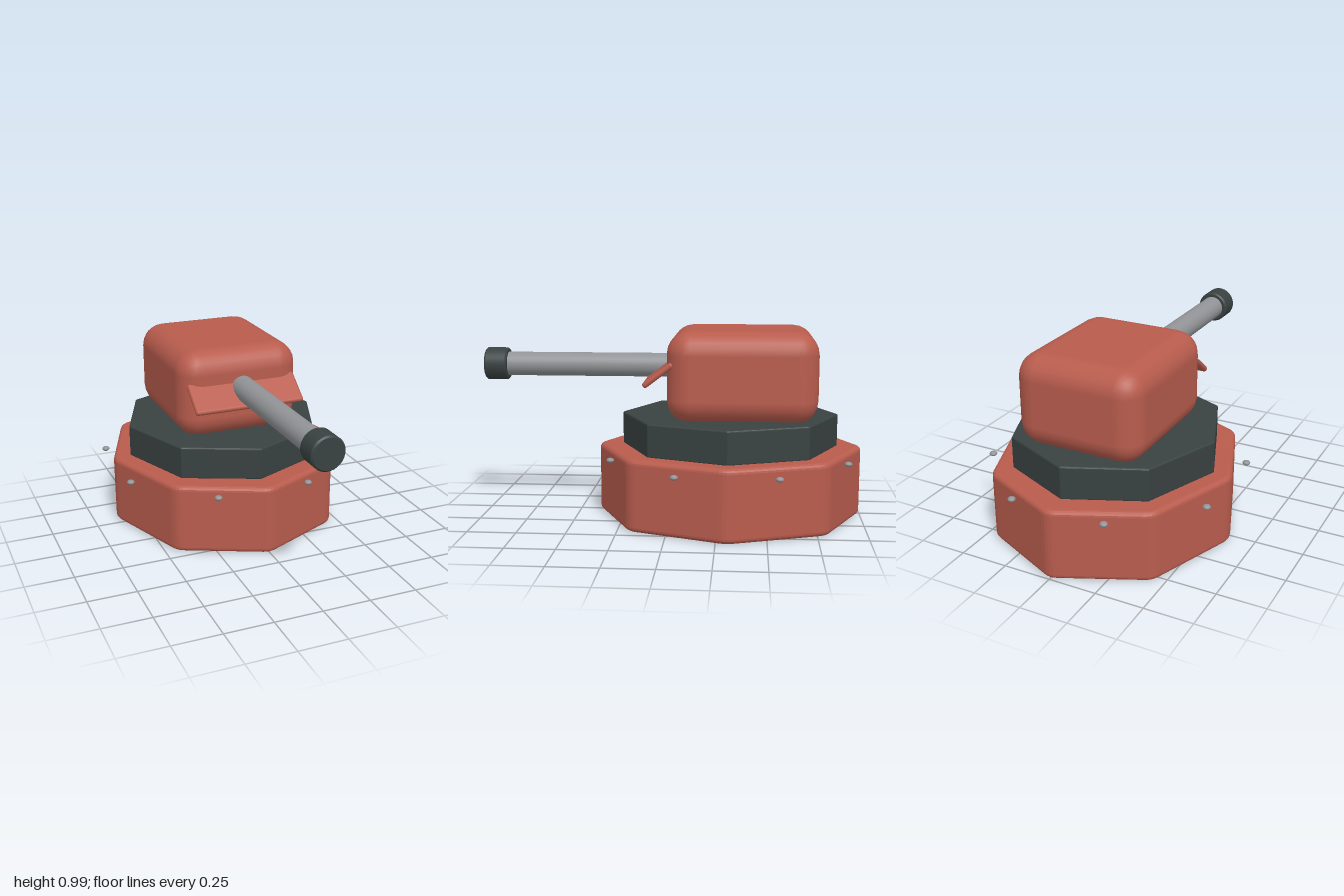
import * as THREE from 'three';
import { RoundedBoxGeometry } from 'three/addons/geometries/RoundedBoxGeometry.js';

const paint = (name, color) => {
  const m = new THREE.MeshStandardMaterial({ color });
  m.name = name;
  return m;
};

// Bevelled upright slab with an eight-sided outline and softened corners
function octagonSlab(rx, rz, height, bevel, corner) {
  const pts = [];
  for (let i = 0; i < 8; i++) {
    const a = (i * Math.PI) / 4;
    pts.push(new THREE.Vector2(rx * Math.cos(a), rz * Math.sin(a)));
  }
  const shape = new THREE.Shape();
  pts.forEach((p, i) => {
    const start = p.clone().lerp(pts[(i + 7) % 8], corner);
    const end = p.clone().lerp(pts[(i + 1) % 8], corner);
    if (i === 0) shape.moveTo(start.x, start.y);
    else shape.lineTo(start.x, start.y);
    shape.quadraticCurveTo(p.x, p.y, end.x, end.y);
  });
  shape.closePath();
  const geo = new THREE.ExtrudeGeometry(shape, {
    depth: height - 2 * bevel, curveSegments: 4,
    bevelThickness: bevel, bevelSize: bevel, bevelOffset: -bevel, bevelSegments: 4,
  });
  return geo.translate(0, 0, bevel).rotateX(-Math.PI / 2);
}

export function createModel() {
  const group = new THREE.Group();
  group.name = 'gunTurret';
  const red = paint('red paint', 0xb85c4d);
  const dark = paint('dark metal', 0x394141);
  const steel = paint('steel', 0x919396);
  const add = (name, geo, mat, x, y, z) => {
    const mesh = new THREE.Mesh(geo, mat);
    mesh.name = name;
    mesh.position.set(x, y, z);
    group.add(mesh);
    return mesh;
  };
  const cz = -0.303;

  // Base and turning ring
  add('base', octagonSlab(0.632, 0.702, 0.37, 0.025, 0.08), red, 0, 0, cz);
  add('turretRing', octagonSlab(0.534, 0.57, 0.175, 0.01, 0.01), dark, 0, 0.365, cz);

  // Turret housing
  add('turret', new RoundedBoxGeometry(0.67, 0.47, 0.77, 3, 0.12), red, 0, 0.757, -0.37);

  // Sloping plate under the barrel
  const shield = add('shield', new RoundedBoxGeometry(0.6, 0.03, 0.19, 3, 0.0145), red, 0, 0.772, 0.055);
  shield.rotation.x = 0.65;

  // Barrel and muzzle
  const barrel = new THREE.CylinderGeometry(0.063, 0.063, 1.05, 32).rotateX(Math.PI / 2);
  add('barrel', barrel, steel, 0, 0.792, 0.385);
  const profile = [[0, 0], [0.078, 0], [0.078, 0], [0.086, 0.008], [0.086, 0.008],
    [0.086, 0.112], [0.086, 0.112], [0.078, 0.12], [0.078, 0.12], [0, 0.12]];
  const muzzle = new THREE.LatheGeometry(profile.map(([r, y]) => new THREE.Vector2(r, y)), 32);
  add('muzzle', muzzle.rotateX(Math.PI / 2), dark, 0, 0.792, 0.88);

  // Ring of flattened bolts
  const bolt = new THREE.SphereGeometry(0.02, 16, 10).scale(1, 0.65, 1);
  for (let i = 0; i < 8; i++) {
    const a = ((i + 0.5) * Math.PI) / 4;
    add('bolt', bolt, steel, 0.658 * Math.cos(a), 0.324, cz + 0.658 * Math.sin(a));
  }
  return group;
}
